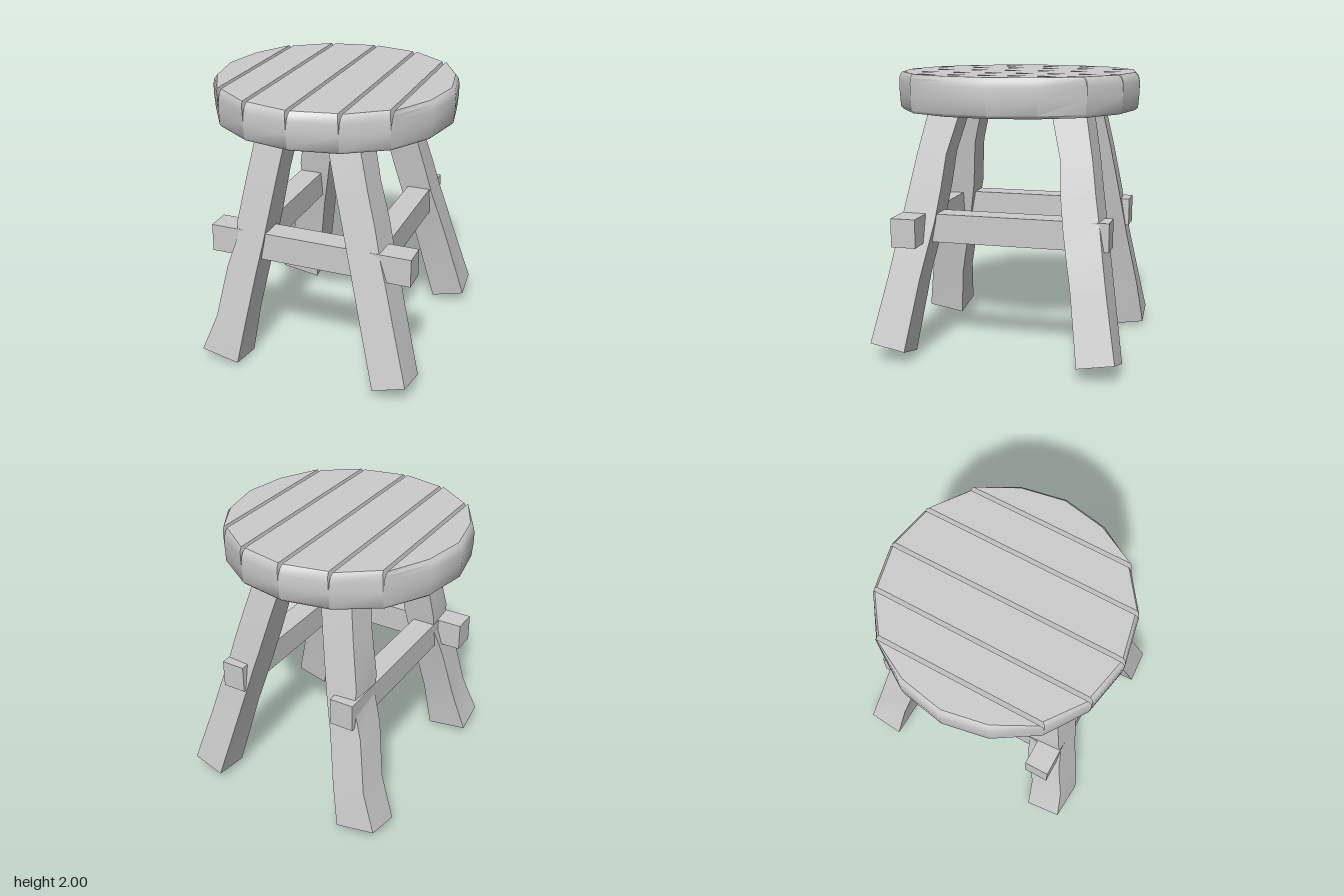
import * as THREE from 'three';
import { toCreasedNormals } from 'three/addons/utils/BufferGeometryUtils.js';

const material = new THREE.MeshStandardMaterial({ color: 0xcccccc });

// Skin through convex rings of [x, y, z], ordered bottom to top, with both ends capped
function loft(rings, crease) {
  const n = rings[0].length;
  const area = rings[0].reduce((sum, p, i, r) => {
    const q = r[(i + 1) % n];
    return sum + q[0] * p[2] - p[0] * q[2];
  }, 0);
  if (area < 0) rings = rings.map((r) => [...r].reverse());
  const index = [];
  for (let k = 0; k < rings.length - 1; k++) {
    for (let i = 0; i < n; i++) {
      const a = k * n + i, b = k * n + (i + 1) % n;
      index.push(a, b, b + n, a, b + n, a + n);
    }
  }
  const top = (rings.length - 1) * n;
  for (let i = 1; i < n - 1; i++) {
    index.push(0, i + 1, i, top, top + i, top + i + 1);
  }
  const geometry = new THREE.BufferGeometry();
  geometry.setAttribute('position', new THREE.Float32BufferAttribute(rings.flat(2), 3));
  geometry.setIndex(index);
  return toCreasedNormals(geometry, crease);
}

function add(group, name, geometry) {
  const mesh = new THREE.Mesh(geometry, material);
  mesh.name = name;
  group.add(mesh);
  return mesh;
}

// Round seat of six planks, parted by V grooves that close below the top
function buildSeat() {
  const seat = new THREE.Group();
  seat.name = 'seat';
  // height, outline scale, half width of groove
  const levels = [
    [1.735, 0.965, 0], [1.755, 0.99, 0], [1.86, 1, 0],
    [1.935, 1, 0.004], [1.975, 0.99, 0.01], [2.0, 0.965, 0.015],
  ];
  const joints = [[-0.61, 0.61], [-0.33, 0.8], [0, 0.865], [0.33, 0.8], [0.61, 0.61]];

  for (let i = 0; i < joints.length - 1; i++) {
    const [ax, az] = joints[i], [bx, bz] = joints[i + 1];
    add(seat, 'seatPlank', loft(levels.map(([y, s, g]) => [
      [ax + g, y, az * s], [bx - g, y, bz * s], [bx - g, y, -bz * s], [ax + g, y, -az * s],
    ]), 0.75));
  }
  // Rounded outer planks
  for (const side of [-1, 1]) {
    add(seat, 'outerSeatPlank', loft(levels.map(([y, s, g]) => [
      [0.61 + g, 0.61 * s], [0.8 * s, 0.32 * s], [0.86 * s, 0],
      [0.8 * s, -0.32 * s], [0.61 + g, -0.61 * s],
    ].map(([x, z]) => [side * x, y, z])), 0.75));
  }
  return seat;
}

// Leg stations: y, outer x, inner x, outer z, inner z, and foot tilt in x and z
const rightLeg = [
  [0.09, 0.85, 0.605, 0.875, 0.605, 0.065, 0.04],
  [0.6, 0.715, 0.465, 0.785, 0.53, 0, 0],
  [0.8, 0.66, 0.412, 0.75, 0.49, 0, 0],
  [0.98, 0.605, 0.365, 0.72, 0.455, 0, 0],
  [1.2, 0.55, 0.305, 0.68, 0.425, 0, 0],
  [1.44, 0.48, 0.24, 0.64, 0.405, 0, 0],
  [1.78, 0.385, 0.148, 0.57, 0.315, 0, 0],
];
const leftLeg = [
  [0.05, 0.72, 0.42, 0.875, 0.605, 0.045, 0.045],
  [0.37, 0.615, 0.365, 0.83, 0.575, 0, 0],
  [0.76, 0.545, 0.3, 0.755, 0.495, 0, 0],
  [0.98, 0.475, 0.257, 0.72, 0.455, 0, 0],
  [1.1, 0.48, 0.237, 0.7, 0.435, 0, 0],
  [1.44, 0.42, 0.18, 0.64, 0.405, 0, 0],
  [1.78, 0.36, 0.122, 0.57, 0.315, 0, 0],
];

function legGeometry(stations, sx, sz) {
  const inset = 0.015; // the outer corner is slightly blunt
  return loft(stations.map(([y, xo, xi, zo, zi, tx, tz]) => [
    [xo - inset, y + (tx + tz) / 2, zo - inset],
    [xi, y + (tz - tx) / 2, zo],
    [xi, y - (tx + tz) / 2, zi],
    [xo, y + (tx - tz) / 2, zi],
  ].map(([x, h, z]) => [sx * x, h, sz * z])), 0.6);
}

function addBar(group, name, x0, x1, z0, z1) {
  const bar = add(group, name, new THREE.BoxGeometry(x1 - x0, 0.2, z1 - z0));
  bar.position.set((x0 + x1) / 2, 0.935, (z0 + z1) / 2);
}

export function createModel() {
  const stool = new THREE.Group();
  stool.name = 'stool';
  stool.add(buildSeat());

  // Splayed legs, mirrored front to back
  for (const sz of [1, -1]) {
    const end = sz > 0 ? 'front' : 'back';
    add(stool, end + 'LegPlusX', legGeometry(rightLeg, 1, sz));
    add(stool, end + 'LegMinusX', legGeometry(leftLeg, -1, sz));
  }

  // Stretchers: one across the front, one along each side
  addBar(stool, 'frontStretcher', -0.66, 0.8, 0.525, 0.7);
  addBar(stool, 'sideStretcher', 0.41, 0.58, -0.765, 0.62);
  addBar(stool, 'sideStretcher', -0.48, -0.31, -0.765, 0.62);
  return stool;
}
